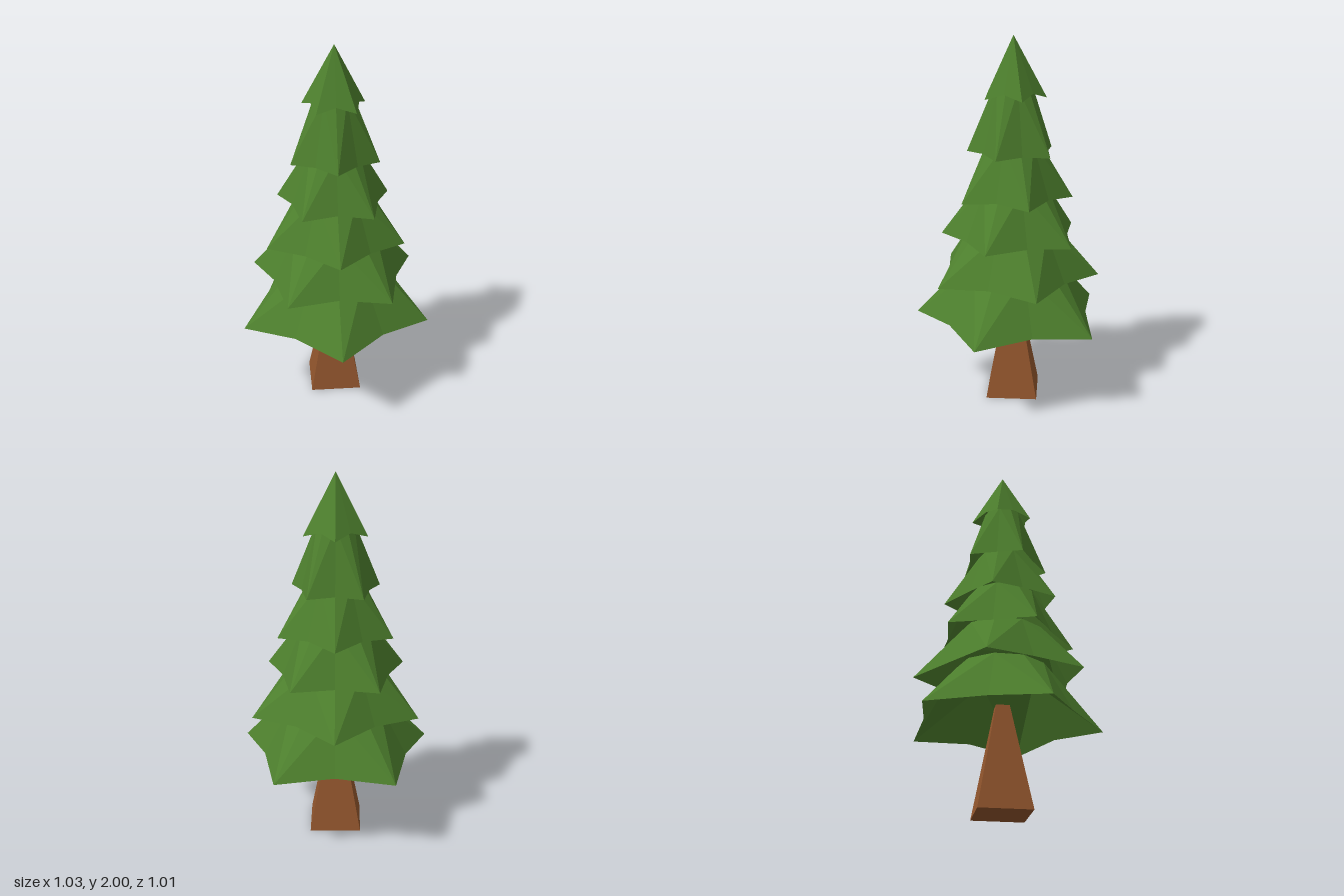
import * as THREE from 'three';

const POINTS = 5;      // branch tips per tier
const VALLEY = 0.752;  // radius of the notches relative to the tips

// Ring of ten corners; odd corners (notches) may be pulled in and lifted.
function ringPoints(radius, y, turn, notch, lift) {
  const ring = [];
  for (let i = 0; i < POINTS * 2; i++) {
    const a = turn + (i * Math.PI) / POINTS;
    const r = i % 2 ? radius * notch : radius;
    ring.push([Math.sin(a) * r, y + (i % 2 ? lift : 0), Math.cos(a) * r]);
  }
  return ring;
}

// Open skirt from a star-shaped hem up to an even ten-sided ring or an apex.
function tierGeometry({ r, y, topR, topY, lift }, turn) {
  const low = ringPoints(r, y, turn, VALLEY, lift);
  const high = ringPoints(topR, topY, turn, 1, 0);
  const pos = [];
  for (let i = 0; i < low.length; i++) {
    const j = (i + 1) % low.length;
    if (topR === 0) {
      pos.push(...low[i], ...low[j], ...high[i]);
    } else if (i % 2 === 0) { // each quad is split from its tip
      pos.push(...low[i], ...low[j], ...high[j], ...low[i], ...high[j], ...high[i]);
    } else {
      pos.push(...low[i], ...low[j], ...high[i], ...low[j], ...high[j], ...high[i]);
    }
  }
  const geo = new THREE.BufferGeometry();
  geo.setAttribute('position', new THREE.Float32BufferAttribute(pos, 3));
  geo.computeVertexNormals();
  return geo;
}

export function createModel() {
  const needles = new THREE.MeshStandardMaterial({ color: 0x4d7f2d, flatShading: true, side: THREE.DoubleSide });
  needles.name = 'needle green';
  const bark = new THREE.MeshStandardMaterial({ color: 0x93562d, flatShading: true });
  bark.name = 'bark brown';

  const tree = new THREE.Group();
  tree.name = 'pineTree';

  // Square tapered trunk
  const height = 0.57;
  const trunkGeo = new THREE.CylinderGeometry(0.036 * Math.SQRT2, 0.14 * Math.SQRT2, height, 4);
  trunkGeo.rotateY(Math.PI / 4);
  trunkGeo.translate(0, height / 2, 0);
  const trunk = new THREE.Mesh(trunkGeo, bark);
  trunk.name = 'trunk';
  tree.add(trunk);

  // Foliage tiers from bottom to top, every second one turned half a step
  const tiers = [
    { r: 0.539, y: 0.461, topR: 0.245, topY: 0.775, lift: 0.022 },
    { r: 0.47, y: 0.707, topR: 0.23, topY: 0.985, lift: 0.018 },
    { r: 0.392, y: 0.929, topR: 0.18, topY: 1.215, lift: 0.008 },
    { r: 0.32, y: 1.147, topR: 0.135, topY: 1.45, lift: 0.018 },
    { r: 0.247, y: 1.39, topR: 0.1, topY: 1.74, lift: 0.01 },
    { r: 0.175, y: 1.681, topR: 0, topY: 2.0, lift: 0.03 },
  ];
  tiers.forEach((tier, i) => {
    const mesh = new THREE.Mesh(tierGeometry(tier, i % 2 ? Math.PI : 0), needles);
    mesh.name = `foliageTier${i + 1}`;
    tree.add(mesh);
  });

  tree.position.z = -0.037;
  const model = new THREE.Group();
  model.add(tree);
  return model;
}
